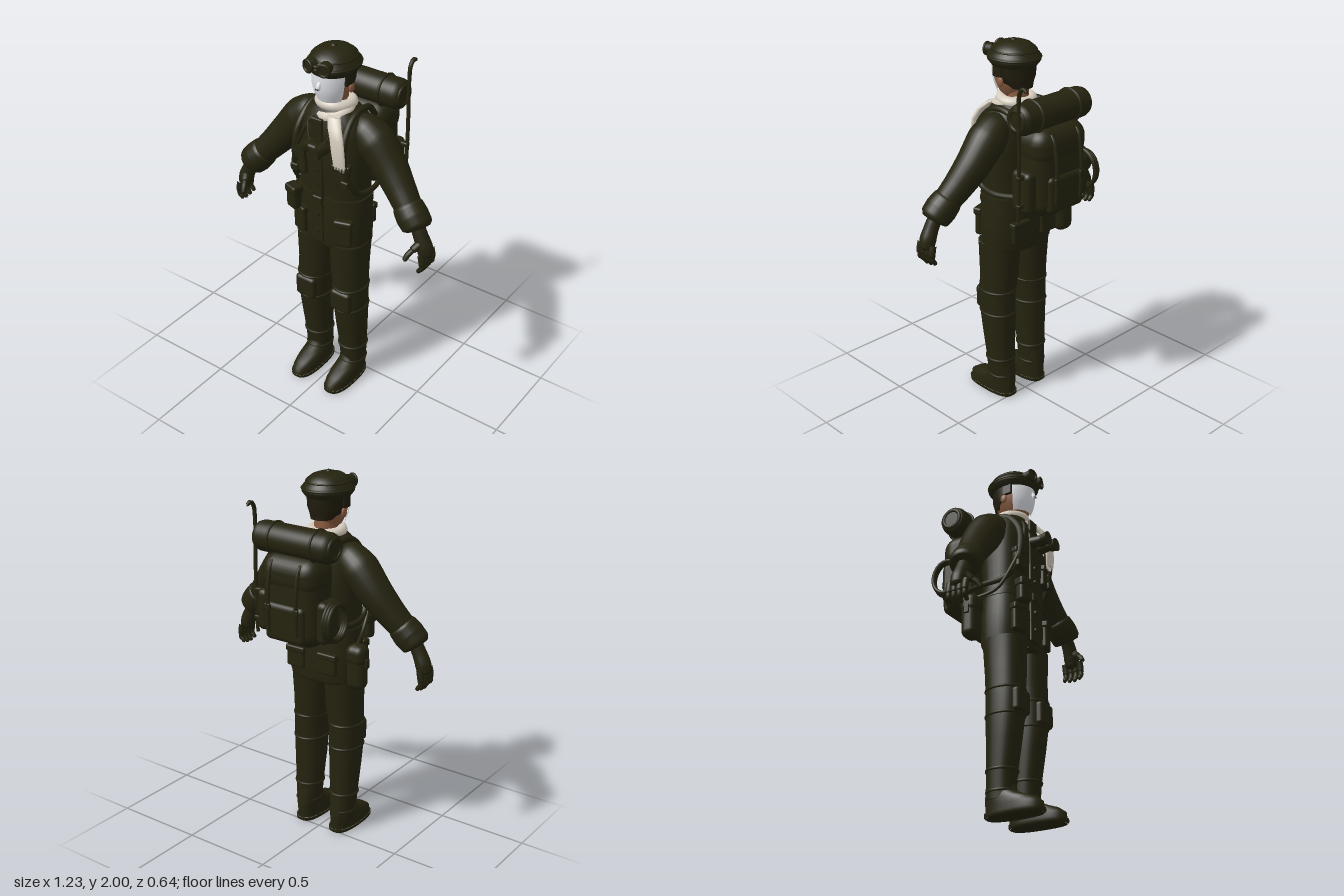
import * as THREE from 'three';
import { mergeVertices } from 'three/addons/utils/BufferGeometryUtils.js';
import { RoundedBoxGeometry } from 'three/addons/geometries/RoundedBoxGeometry.js';

const mat = (name, color, side = THREE.FrontSide) => {
  const m = new THREE.MeshStandardMaterial({ color, side });
  m.name = name;
  return m;
};
const V = (p) => new THREE.Vector3(p[0], p[1], p[2]);

// Stacked superellipse sections, each [y, rx, rz, cx, cz]
function loft(rows, { n = 2, seg = 40, from = 0, to = Math.PI * 2, caps = true } = {}) {
  const pos = [], idx = [];
  const ring = ([y, rx, rz, cx = 0, cz = 0]) => {
    for (let j = 0; j <= seg; j++) {
      const t = from + (to - from) * j / seg, c = Math.cos(t), s = Math.sin(t);
      pos.push(cx + rx * Math.sign(c) * Math.abs(c) ** (2 / n), y, cz + rz * Math.sign(s) * Math.abs(s) ** (2 / n));
    }
  };
  rows.forEach(ring);
  const w = seg + 1;
  for (let i = 0; i < rows.length - 1; i++) for (let j = 0; j < seg; j++) {
    const a = i * w + j, b = a + w;
    idx.push(a, b, a + 1, b, b + 1, a + 1);
  }
  let geo = new THREE.BufferGeometry();
  const closeEnd = (row, up) => {
    const start = pos.length / 3;
    ring([row[0] + (up ? 1e-3 : -1e-3), ...row.slice(1)]);
    pos.push(row[3] || 0, row[0] + (up ? 1e-3 : -1e-3), row[4] || 0);
    for (let j = 0; j < seg; j++) {
      if (up) idx.push(start + w, start + j + 1, start + j);
      else idx.push(start + w, start + j, start + j + 1);
    }
  };
  if (caps) { closeEnd(rows[0], false); closeEnd(rows[rows.length - 1], true); }
  geo.setAttribute('position', new THREE.Float32BufferAttribute(pos, 3));
  geo.setIndex(idx);
  geo = mergeVertices(geo, 1e-5);
  geo.computeVertexNormals();
  return geo;
}

// Tube through points [x, y, z, radius] with a varying radius
function limb(pts, seg = 24, radial = 16) {
  const curve = new THREE.CatmullRomCurve3(pts.map(V));
  let geo = new THREE.TubeGeometry(curve, seg, 1, radial);
  const p = geo.attributes.position, v = new THREE.Vector3();
  for (let i = 0; i <= seg; i++) {
    const c = curve.getPointAt(i / seg), f = curve.getUtoTmapping(i / seg) * (pts.length - 1);
    const k = Math.min(Math.floor(f), pts.length - 2), r = THREE.MathUtils.lerp(pts[k][3], pts[k + 1][3], f - k);
    for (let j = 0; j <= radial; j++) {
      const q = i * (radial + 1) + j;
      v.fromBufferAttribute(p, q).sub(c).multiplyScalar(r).add(c);
      p.setXYZ(q, v.x, v.y, v.z);
    }
  }
  geo.deleteAttribute('uv'); geo.deleteAttribute('normal');
  geo = mergeVertices(geo, 1e-5);
  geo.computeVertexNormals();
  return geo;
}

export function createModel() {
  const model = new THREE.Group();
  const olive = mat('dark olive cloth', 0x25230f), skin = mat('skin', 0x8a5c40);
  const white = mat('white mask', 0xe2e5ea, THREE.DoubleSide), wool = mat('pale wool', 0xd6cdbe);
  const hairMat = mat('dark hair', 0x211c0e);
  const add = (name, geo, m = olive, p = [0, 0, 0], r = [0, 0, 0], s = [1, 1, 1]) => {
    const mesh = new THREE.Mesh(geo, m);
    mesh.name = name;
    mesh.position.set(...p); mesh.rotation.set(...r); mesh.scale.set(...s);
    model.add(mesh);
    return mesh;
  };
  const box = (name, size, p, rad = 0.015, r, m) => add(name, new RoundedBoxGeometry(...size, 3, rad), m, p, r);
  const ball = (name, r, p, m, s) => add(name, new THREE.SphereGeometry(r, 24, 16), m, p, undefined, s);
  const ring = (name, R, r, p, rot, s, m) => add(name, new THREE.TorusGeometry(R, r, 10, 40), m, p, rot, s);
  const flat = [Math.PI / 2, 0, 0];

  // Jacket
  add('jacket', loft([[0.9, 0.19, 0.12, 0, 0.07], [0.92, 0.2, 0.132, 0, 0.07], [1.05, 0.202, 0.136, 0, 0.07],
    [1.17, 0.197, 0.13, 0, 0.07], [1.2, 0.192, 0.125, 0, 0.07], [1.3, 0.19, 0.13, 0, 0.07], [1.45, 0.198, 0.138, 0, 0.07],
    [1.56, 0.195, 0.135, 0, 0.067], [1.63, 0.17, 0.12, 0, 0.065], [1.67, 0.125, 0.1, 0, 0.065], [1.7, 0.08, 0.08, 0, 0.065]], { n: 2.5 }));
  add('belt', loft([[1.165, 0.203, 0.136, 0, 0.07], [1.205, 0.201, 0.134, 0, 0.07]], { n: 2.5 }));
  box('frontPlacket', [0.07, 0.72, 0.02], [-0.015, 1.29, 0.203], 0.008);
  box('beltBuckle', [0.06, 0.05, 0.02], [-0.01, 1.185, 0.212], 0.008);
  for (const y of [1.5, 1.36, 1.28, 1.1, 1.0])
    add('button', new THREE.CylinderGeometry(0.013, 0.013, 0.012, 16), olive, [-0.012, y, 0.217], flat);
  for (const s of [-1, 1]) {
    box('hipPocket', [0.09, 0.14, 0.04], [s * 0.135, 1.02, 0.188], 0.015, [0, s * 0.3, 0]);
    box('hipPocketFlap', [0.1, 0.04, 0.05], [s * 0.135, 1.085, 0.19], 0.012, [0, s * 0.3, 0]);
    box('chestPocket', [0.09, 0.11, 0.035], [s * 0.125, 1.365, 0.19], 0.012, [0, s * 0.25, 0]);
    box('chestPocketFlap', [0.1, 0.035, 0.045], [s * 0.125, 1.415, 0.192], 0.01, [0, s * 0.25, 0]);
    box('rearPocket', [0.11, 0.11, 0.03], [s * 0.1, 1.02, -0.064], 0.012);
    box('rearPocketFlap', [0.12, 0.035, 0.04], [s * 0.1, 1.065, -0.064], 0.01);
    add('shoulderStrap', limb([[s * 0.12, 1.58, -0.1, 0.015], [s * 0.13, 1.66, -0.02, 0.017], [s * 0.13, 1.655, 0.1, 0.018],
      [s * 0.14, 1.55, 0.195, 0.018], [s * 0.155, 1.38, 0.2, 0.018], [s * 0.185, 1.26, 0.14, 0.016], [s * 0.2, 1.24, 0.02, 0.014],
      [s * 0.16, 1.25, -0.12, 0.014]], 50, 10));
    box('strapBuckle', [0.045, 0.04, 0.025], [s * 0.155, 1.33, 0.205], 0.008);
  }

  // Arms, gloves and fingers
  for (const s of [-1, 1]) {
    const L = (pts) => pts.map(([x, y, z, r]) => [s * x, y, z, r]);
    add('sleeve', limb(L([[0.1, 1.59, 0.05, 0.04], [0.15, 1.58, 0.048, 0.085], [0.22, 1.53, 0.045, 0.1], [0.31, 1.425, 0.05, 0.09],
      [0.39, 1.33, 0.07, 0.078], [0.45, 1.262, 0.09, 0.07]]), 32, 24));
    add('cuff', limb(L([[0.435, 1.28, 0.085, 0.06], [0.45, 1.262, 0.09, 0.077], [0.485, 1.222, 0.1, 0.083], [0.52, 1.185, 0.107, 0.078],
      [0.53, 1.172, 0.11, 0.06], [0.532, 1.168, 0.11, 0.002]]), 24, 24));
    add('glove', limb(L([[0.51, 1.2, 0.105, 0.035], [0.545, 1.13, 0.11, 0.038], [0.567, 1.08, 0.11, 0.042], [0.578, 1.035, 0.11, 0.038],
      [0.58, 1.02, 0.11, 0.002]]), 20, 16));
    for (let i = 0; i < 4; i++) {
      const z = 0.063 + i * 0.031, d = Math.abs(i - 1.6) * 0.008;
      add('gloveFinger', limb(L([[0.575, 1.06, z, 0.017], [0.582, 1.03, z, 0.018], [0.585, 1.0, z, 0.017], [0.584, 0.997, z, 0.002]]), 10, 10));
      add('finger', limb(L([[0.585, 1.01, z, 0.014], [0.584, 0.98, z, 0.014], [0.572, 0.955 + d, z, 0.012], [0.564, 0.942 + d, z, 0.01],
        [0.562, 0.939 + d, z, 0.001]]), 14, 10));
    }
    add('gloveThumb', limb(L([[0.56, 1.11, 0.12, 0.022], [0.543, 1.09, 0.15, 0.021], [0.533, 1.075, 0.17, 0.018], [0.532, 1.074, 0.172, 0.002]]), 10, 10));
    add('thumb', limb(L([[0.535, 1.078, 0.165, 0.014], [0.523, 1.06, 0.188, 0.015], [0.514, 1.03, 0.207, 0.012], [0.513, 1.027, 0.209, 0.001]]), 12, 10));
  }

  // Legs, knee pads and boots
  for (const s of [-1, 1]) {
    const c = s * 0.105, k = s * 0.115;
    add('trouserLeg', loft([[0.09, 0.062, 0.072, k, 0.068], [0.24, 0.072, 0.076, k, 0.074], [0.4, 0.08, 0.09, k, 0.086],
      [0.5, 0.084, 0.098, k, 0.092], [0.62, 0.086, 0.1, k, 0.095], [0.75, 0.093, 0.106, c, 0.09], [0.93, 0.099, 0.115, c, 0.085]], { n: 2.3 }));
    box('kneePad', [0.125, 0.13, 0.05], [k, 0.58, 0.182], 0.022);
    for (const [y, rx, rz, z] of [[0.65, 0.089, 0.103, 0.095], [0.515, 0.087, 0.101, 0.093], [0.235, 0.076, 0.08, 0.074], [0.13, 0.068, 0.076, 0.07]])
      ring('legBand', 1, 0.07, [k, y, z], flat, [rx, rz, 0.11]);
    const heel = s * 0.112;
    add('bootSole', loft([[0.005, 0.062, 0.155, heel, 0.142], [0.012, 0.07, 0.162, heel, 0.142], [0.028, 0.07, 0.162, heel, 0.142]], { n: 2.6 }));
    add('bootUpper', loft([[0.025, 0.065, 0.157, heel, 0.142], [0.06, 0.066, 0.155, heel, 0.14], [0.085, 0.064, 0.138, heel, 0.122],
      [0.105, 0.062, 0.11, heel, 0.095], [0.13, 0.06, 0.08, heel, 0.068], [0.2, 0.062, 0.073, heel, 0.068]], { n: 2.3 }));
  }

  // Head, mask and hair
  add('neck', new THREE.CylinderGeometry(0.052, 0.058, 0.14, 24), skin, [0, 1.72, 0.05]);
  const head = [[1.695, 0.03, 0.035, 0, 0.1], [1.71, 0.05, 0.06, 0, 0.092], [1.74, 0.07, 0.08, 0, 0.085], [1.78, 0.086, 0.1, 0, 0.083],
    [1.82, 0.095, 0.109, 0, 0.083], [1.87, 0.099, 0.114, 0, 0.08], [1.92, 0.097, 0.11, 0, 0.078]];
  add('head', loft(head), skin);
  add('faceMask', loft(head.slice(2).map(([y, a, b, x, z]) => [y - 0.013, a + 0.005, b + 0.007, x, z]), { from: 0.38, to: Math.PI - 0.38, caps: false }), white);
  add('maskNose', limb([[0, 1.845, 0.19, 0.008], [0, 1.825, 0.205, 0.011], [0, 1.81, 0.207, 0.012], [0, 1.803, 0.198, 0.002]], 12, 10), white);
  for (const s of [-1, 1]) ball('nostril', 0.004, [s * 0.005, 1.811, 0.217], hairMat);
  add('hair', loft([[1.76, 0.06, 0.06, 0, 0.03], [1.785, 0.085, 0.1, 0, 0.07], [1.82, 0.098, 0.115, 0, 0.075], [1.9, 0.104, 0.118, 0, 0.075]],
    { from: Math.PI * 0.97, to: Math.PI * 2.03, caps: false }), mat('hair shell', 0x211c0e, THREE.DoubleSide));
  for (const s of [-1, 1]) {
    box('sideburn', [0.016, 0.08, 0.06], [s * 0.099, 1.855, 0.095], 0.007, undefined, hairMat);
    ball('ear', 0.024, [s * 0.1, 1.795, 0.075], skin, [0.45, 1.1, 0.8]);
  }

  // Cap with goggles
  const capPts = [[0.09, 1.875], [0.112, 1.87], [0.13, 1.895], [0.131, 1.91], [0.124, 1.925], [0.112, 1.935], [0.105, 1.955], [0.08, 1.975], [0.045, 1.987], [0, 1.991]];
  add('cap', new THREE.LatheGeometry(capPts.map(([x, y]) => new THREE.Vector2(x, y)), 48), olive, [0, 0, 0.077], undefined, [1, 1, 1.08]);
  ring('capBand', 0.128, 0.006, [0, 1.91, 0.077], flat, [1, 1.08, 1]);
  ring('capSeam', 0.108, 0.005, [0, 1.944, 0.077], flat, [1, 1.08, 1]);
  ball('capButton', 0.016, [0, 1.99, 0.08], olive, [1, 0.6, 1]);
  for (const s of [-1, 1]) {
    add('goggleCup', new THREE.CylinderGeometry(0.03, 0.034, 0.04, 24), olive, [s * 0.042, 1.925, 0.205], [Math.PI / 2, 0, -s * 0.25]);
    ring('goggleRim', 0.029, 0.007, [s * 0.046, 1.925, 0.226], [0, s * 0.25, 0]);
  }
  box('goggleBridge', [0.035, 0.015, 0.02], [0, 1.928, 0.215], 0.006);

  // Scarf
  ring('scarfLoop', 0.08, 0.029, [0, 1.693, 0.063], [Math.PI / 2 - 0.08, 0, 0], [1, 0.96, 1], wool);
  ring('scarfFrontLoop', 0.078, 0.027, [0.01, 1.668, 0.085], [Math.PI / 2 + 0.3, 0.1, 0], [1, 1, 1], wool);
  add('scarfTail', loft([[1.435, 0.036, 0.01, 0.133, 0.222], [1.5, 0.039, 0.014, 0.13, 0.228], [1.58, 0.04, 0.016, 0.118, 0.224],
    [1.63, 0.04, 0.02, 0.095, 0.207], [1.67, 0.035, 0.022, 0.065, 0.17]], { seg: 24 }), wool);
  for (let i = 0; i < 7; i++)
    add('scarfFringe', new THREE.ConeGeometry(0.006, 0.035, 6), wool, [0.104 + i * 0.0095, 1.422, 0.222], [Math.PI, 0, 0]);

  // Binoculars hanging on the chest
  for (const s of [-1, 1]) {
    add('binocularBarrel', new THREE.CylinderGeometry(0.025, 0.033, 0.07, 24), olive, [s * 0.038, 1.505, 0.25], flat);
    add('binocularLens', new THREE.CylinderGeometry(0.036, 0.028, 0.04, 24), olive, [s * 0.042, 1.505, 0.297], flat);
    add('binocularCord', limb([[s * 0.04, 1.52, 0.23, 0.006], [s * 0.075, 1.6, 0.195, 0.006], [s * 0.09, 1.67, 0.12, 0.006]], 14, 8));
  }
  box('binocularBridge', [0.06, 0.04, 0.05], [0, 1.515, 0.25]);

  // Belt pouch and side satchel
  box('beltPouch', [0.075, 0.13, 0.055], [-0.15, 1.165, 0.225], 0.018, [0, -0.3, 0]);
  box('beltPouchFlap', [0.083, 0.05, 0.065], [-0.15, 1.21, 0.225], 0.014, [0, -0.3, 0]);
  box('satchel', [0.105, 0.245, 0.09], [-0.257, 1.035, -0.02], 0.04);
  box('satchelFlap', [0.112, 0.11, 0.1], [-0.257, 1.1, -0.02], 0.04);
  box('satchelClasp', [0.012, 0.05, 0.03], [-0.314, 1.06, -0.015], 0.005);
  add('satchelStrap', limb([[-0.25, 1.14, -0.02, 0.01], [-0.21, 1.19, 0.1, 0.01], [-0.19, 1.3, 0.175, 0.01], [-0.14, 1.45, 0.21, 0.01],
    [-0.08, 1.6, 0.19, 0.01], [-0.05, 1.66, 0.15, 0.01]], 30, 8));

  // Backpack
  box('backpack', [0.34, 0.46, 0.215], [0, 1.39, -0.18], 0.085);
  box('packLid', [0.35, 0.2, 0.22], [0, 1.53, -0.184], 0.085);
  box('packPocket', [0.24, 0.2, 0.06], [0, 1.29, -0.273], 0.028);
  for (const s of [-1, 1]) {
    box('packSidePocket', [0.07, 0.22, 0.13], [s * 0.185, 1.31, -0.18], 0.03);
    add('packStrap', limb([[s * 0.087, 1.61, -0.2, 0.01], [s * 0.087, 1.59, -0.275, 0.011], [s * 0.087, 1.5, -0.303, 0.011],
      [s * 0.087, 1.37, -0.311, 0.011], [s * 0.087, 1.24, -0.304, 0.01]], 24, 8));
    box('packBuckle', [0.036, 0.035, 0.016], [s * 0.087, 1.37, -0.314], 0.006);
  }
  // Bedroll on top of the pack
  add('bedroll', loft([[-0.23, 0.05, 0.05], [-0.225, 0.07, 0.07], [-0.2, 0.079, 0.079], [0.2, 0.079, 0.079], [0.225, 0.07, 0.07], [0.23, 0.05, 0.05]]),
    olive, [0.005, 1.685, -0.18], [0, 0, Math.PI / 2]);
  for (const s of [-1, 1]) {
    ring('bedrollStrap', 0.08, 0.008, [s * 0.13, 1.685, -0.18], [0, Math.PI / 2, 0]);
    ring('bedrollEnd', 0.05, 0.01, [0.005 + s * 0.228, 1.685, -0.18], [0, Math.PI / 2, 0]);
  }
  // Coiled rope on the pack's right side
  for (let i = 0; i < 3; i++) ring('ropeCoil', 0.088 - i * 0.004, 0.01, [-0.225 - i * 0.014, 1.32, -0.19], [0, Math.PI / 2, 0], [1, 1.15, 1]);
  // Walking cane
  add('cane', limb([[0.245, 1.17, -0.2, 0.009], [0.245, 1.5, -0.208, 0.01], [0.245, 1.77, -0.205, 0.01], [0.245, 1.84, -0.215, 0.011],
    [0.245, 1.86, -0.24, 0.011], [0.245, 1.845, -0.265, 0.01], [0.245, 1.843, -0.267, 0.001]], 50, 10));
  for (const y of [1.25, 1.4]) box('caneLoop', [0.045, 0.025, 0.03], [0.234, y, -0.202], 0.008);
  return model;
}
